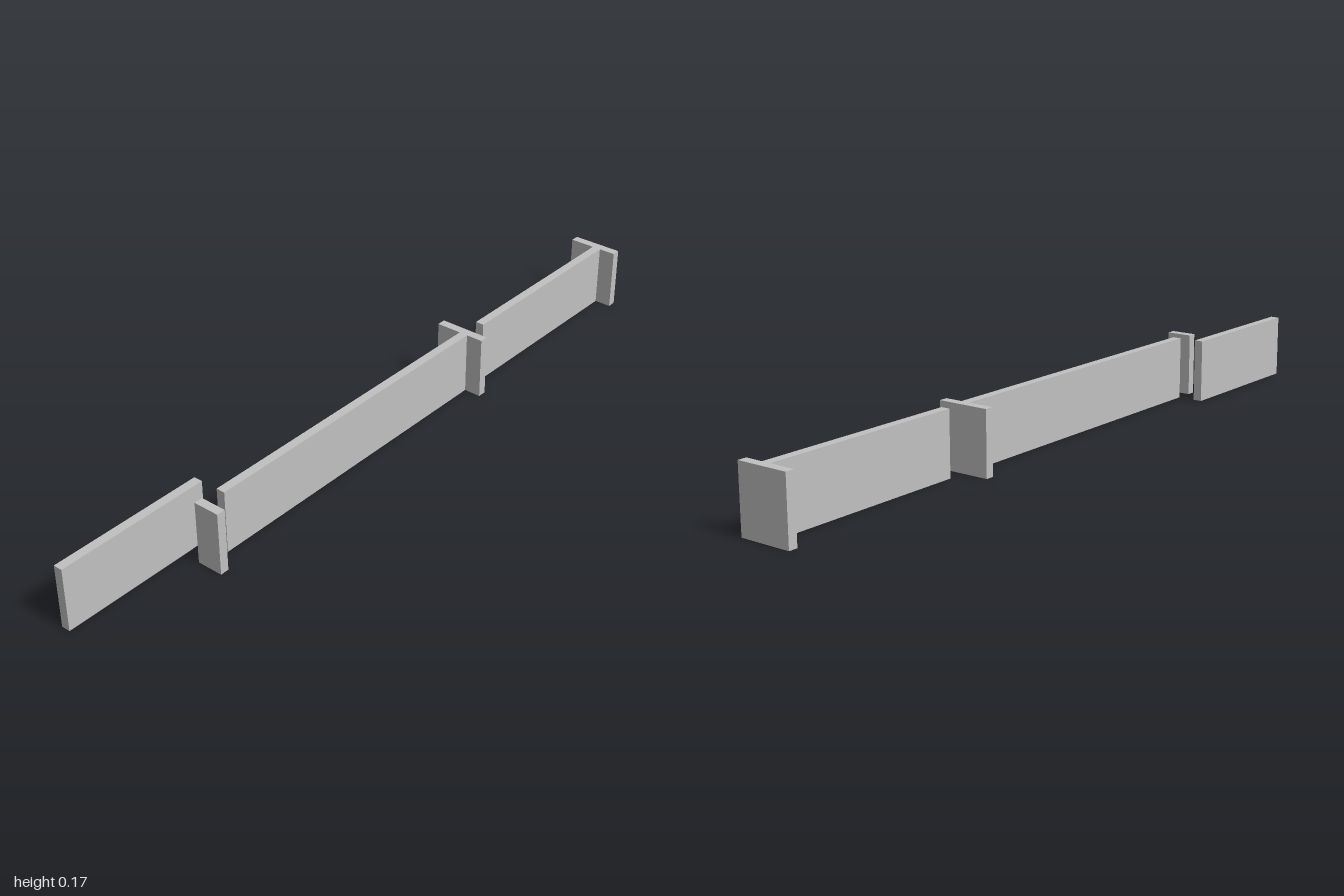
import * as THREE from 'three';

const HEIGHT = 0.17;

export function createModel() {
  const model = new THREE.Group();
  model.name = 'wallSegments';
  const grey = new THREE.MeshStandardMaterial({ color: 0xc0c0c0 });
  grey.name = 'plain grey';

  // Upright slab spanning the given x and z ranges, standing on the ground
  const addWall = (name, x0, x1, z0, z1) => {
    const wall = new THREE.Mesh(new THREE.BoxGeometry(x1 - x0, HEIGHT, z1 - z0), grey);
    wall.position.set((x0 + x1) / 2, HEIGHT / 2, (z0 + z1) / 2);
    wall.name = name;
    model.add(wall);
  };

  // Long walls running front to back
  addWall('frontWall', -0.071, -0.047, 0.577, 1);
  addWall('middleWall', 0, 0.024, -0.339, 0.577);
  addWall('backWall', 0, 0.024, -0.976, -0.411);

  // Short cross walls
  addWall('frontStub', 0, 0.071, 0.624, 0.648);
  addWall('middleCrossWall', -0.071, 0.071, -0.363, -0.339);
  addWall('backCrossWall', -0.071, 0.071, -1, -0.976);

  return model;
}
